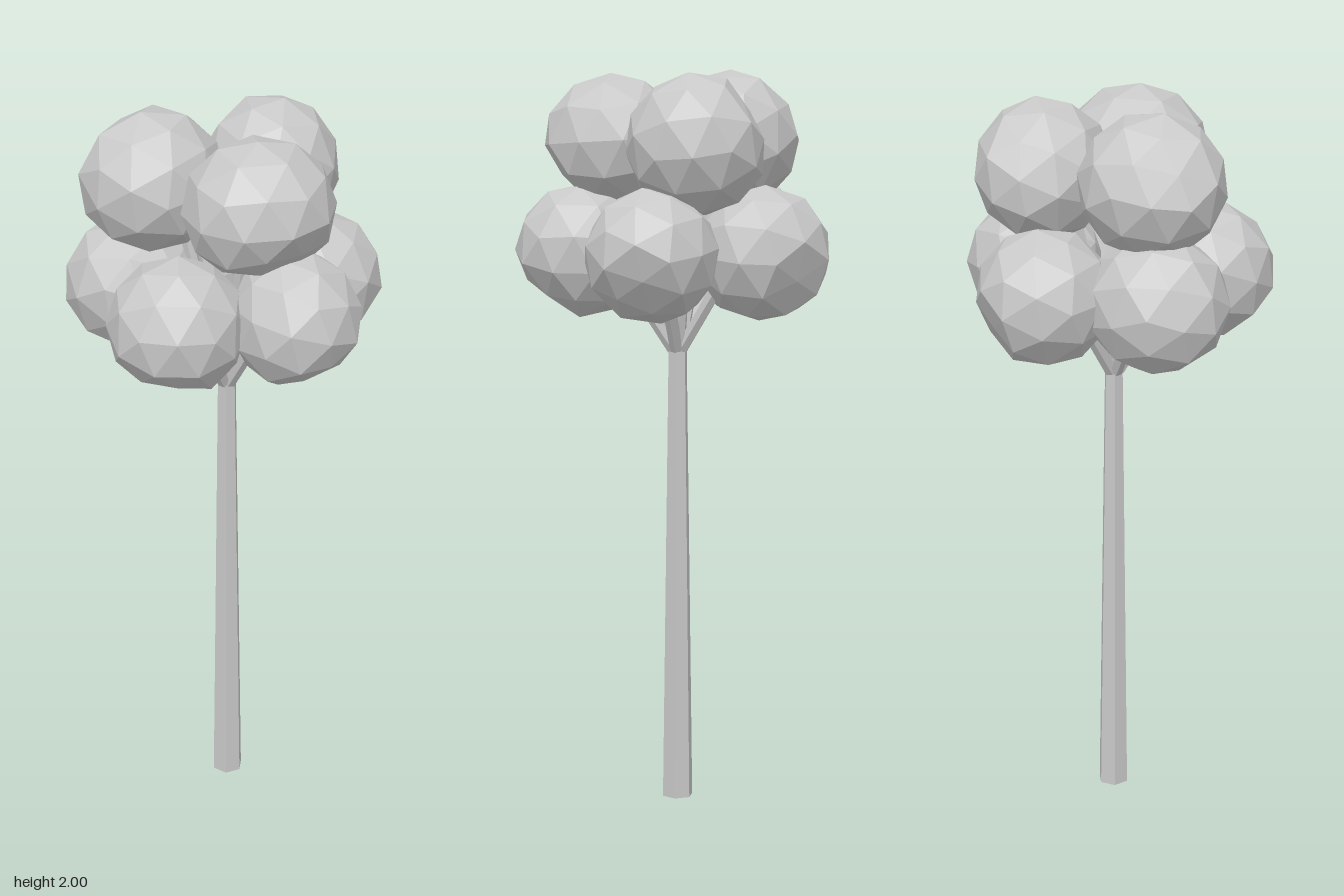
import * as THREE from 'three';

const gray = new THREE.MeshStandardMaterial({ color: 0xc8c8c8, flatShading: true });
gray.name = 'plain gray';

const TRUNK_X = -0.02, TRUNK_TOP = 1.25;

// every leaf clump: centre, radii, and the direction of its flattened side
const lowerClumps = [
  { at: [0.065, 1.52, -0.245], size: [0.183, 0.182, 0.185], flat: [0.6, -0.3, -0.7] },
  { at: [-0.215, 1.515, -0.16], size: [0.19, 0.184, 0.185], flat: [-0.6, 0.3, -0.7] },
  { at: [-0.225, 1.515, 0.15], size: [0.182, 0.184, 0.18], flat: [-0.3, -0.9, 0.3] },
  { at: [0.062, 1.52, 0.245], size: [0.173, 0.182, 0.183], flat: [0.2, -0.8, 0.6] },
  { at: [0.22, 1.52, 0.022], size: [0.187, 0.18, 0.18], flat: [0.8, -0.6, 0] },
];
const upperClumps = [
  { at: [-0.006, 1.808, 0.17], size: [0.2, 0.184, 0.192], flat: [0.1, -0.7, 0.7] },
  { at: [-0.18, 1.812, -0.118], size: [0.195, 0.19, 0.19], flat: [-0.5, 0.6, -0.6] },
  { at: [0.143, 1.808, -0.083], size: [0.181, 0.19, 0.19], flat: [-0.1, 0.5, -0.85] },
];

// faceted ball, turned differently for each clump and pressed flat on one side
function clumpGeometry(turn, { size, flat }) {
  const geo = new THREE.IcosahedronGeometry(1, 1);
  geo.rotateX(turn * 1.3).rotateY(turn * 2.1).rotateZ(turn * 0.7);
  const n = new THREE.Vector3(...flat).normalize();
  const pos = geo.attributes.position;
  const v = new THREE.Vector3();
  for (let i = 0; i < pos.count; i++) {
    v.fromBufferAttribute(pos, i);
    v.addScaledVector(n, -Math.max(0, v.dot(n) - 0.84));
    pos.setXYZ(i, v.x, v.y, v.z);
  }
  geo.scale(...size);
  geo.computeVertexNormals();
  return geo;
}

// tapered six-sided limb between two points
function limb(name, from, to, r0, r1) {
  const dir = to.clone().sub(from);
  const geo = new THREE.CylinderGeometry(r1, r0, dir.length(), 6);
  geo.rotateY(Math.PI / 6);
  const mesh = new THREE.Mesh(geo, gray);
  mesh.name = name;
  mesh.position.copy(from).addScaledVector(dir, 0.5);
  mesh.quaternion.setFromUnitVectors(new THREE.Vector3(0, 1, 0), dir.normalize());
  return mesh;
}

export function createModel() {
  const tree = new THREE.Group();
  tree.name = 'tree';

  const top = new THREE.Vector3(TRUNK_X, TRUNK_TOP, 0);
  tree.add(limb('trunk', new THREE.Vector3(TRUNK_X, 0, 0), top, 0.043, 0.026));

  const branches = new THREE.Group();
  branches.name = 'branches';
  const crown = new THREE.Group();
  crown.name = 'crown';
  tree.add(branches, crown);

  [...lowerClumps, ...upperClumps].forEach((clump, i) => {
    const [x, y, z] = clump.at;
    // clump of leaves
    const leaves = new THREE.Mesh(clumpGeometry(i + 1, clump), gray);
    leaves.name = i < lowerClumps.length ? 'lowerLeaves' : 'upperLeaves';
    leaves.position.set(x, y, z);
    crown.add(leaves);
    // branch reaching into the inner side of the clump
    const start = top.clone().add(new THREE.Vector3(x * 0.04, 0, z * 0.04));
    const end = new THREE.Vector3(TRUNK_X + (x - TRUNK_X) * 0.72, y, z * 0.72);
    branches.add(limb('branch', start, end, 0.019, 0.017));
  });

  return tree;
}
